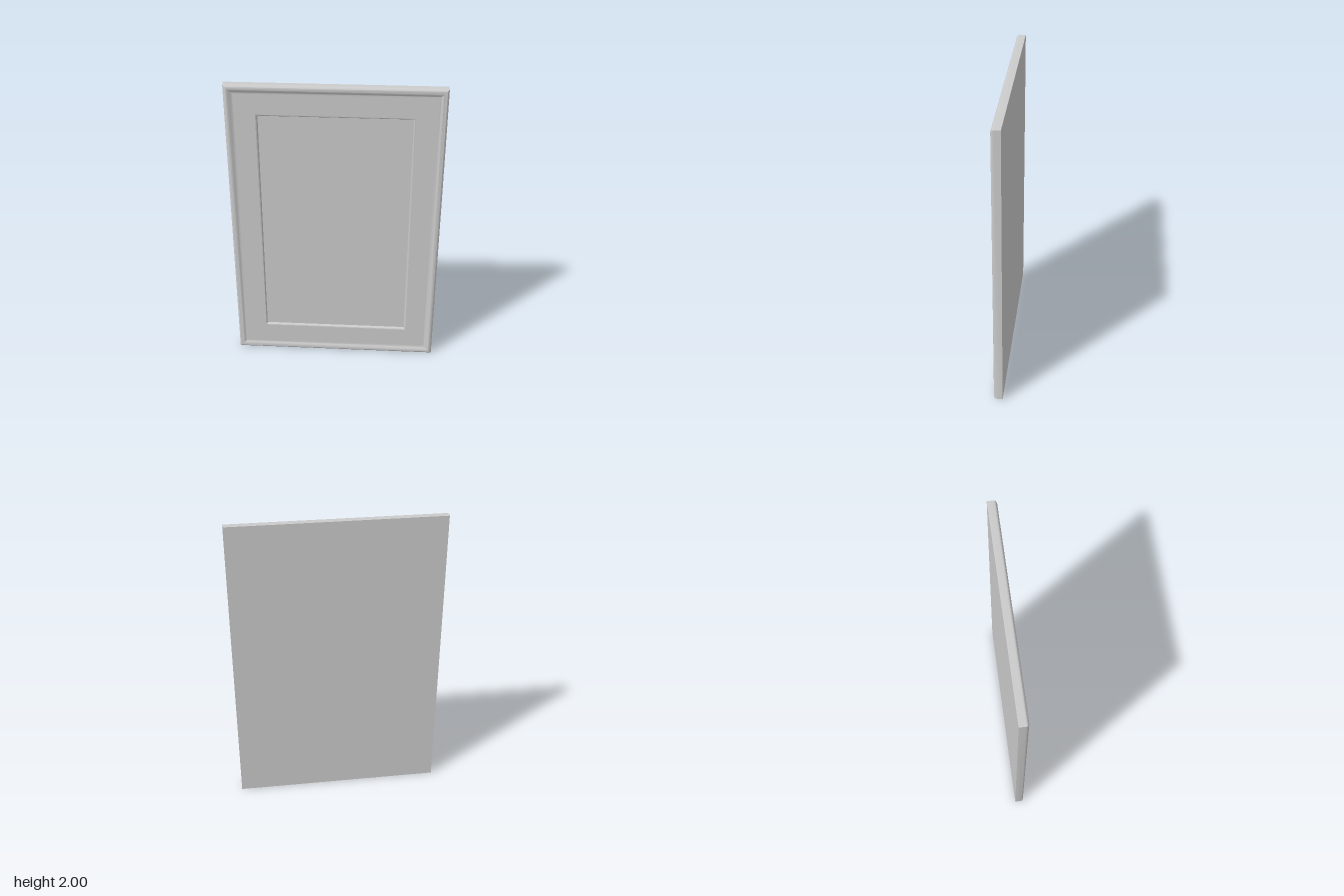
import * as THREE from 'three';
import { toCreasedNormals } from 'three/addons/utils/BufferGeometryUtils.js';

const HALF_W = 0.69, HEIGHT = 2, BACK = -0.03;
const FRAME_Z = 0.017, PANEL_Z = 0.0;

// Four mitred sides swept from a profile of [inset from the edge, z]
function mitredFrame(profile) {
  const corners = ([d, z]) => [
    [-HALF_W + d, d, z], [HALF_W - d, d, z],
    [HALF_W - d, HEIGHT - d, z], [-HALF_W + d, HEIGHT - d, z],
  ];
  const pos = [];
  for (let i = 0; i < profile.length - 1; i++) {
    const lo = corners(profile[i]), hi = corners(profile[i + 1]);
    for (let s = 0; s < 4; s++) {
      const t = (s + 1) % 4;
      pos.push(...lo[s], ...lo[t], ...hi[t], ...lo[s], ...hi[t], ...hi[s]);
    }
  }
  const geo = new THREE.BufferGeometry();
  geo.setAttribute('position', new THREE.Float32BufferAttribute(pos, 3));
  return toCreasedNormals(geo, 0.6);
}

export function createModel() {
  const group = new THREE.Group();
  const material = new THREE.MeshStandardMaterial({ color: 0xcccccc });
  const add = (name, geo) => {
    const mesh = new THREE.Mesh(geo, material);
    mesh.name = name;
    group.add(mesh);
    return mesh;
  };

  // Outer bead: straight edge, rounded crown, soft fall to the flat frame
  const bead = [[0, BACK], [0, 0.012]];
  const steps = 8;
  for (let i = 1; i <= steps; i++) {
    const a = (i / steps) * Math.PI / 2;
    bead.push([0.022 * (1 - Math.cos(a)), 0.012 + 0.018 * Math.sin(a)]);
  }
  for (let i = 1; i <= steps; i++) {
    const t = i / steps;
    bead.push([0.022 + 0.036 * t, FRAME_Z + (0.03 - FRAME_Z) * (1 + Math.cos(Math.PI * t)) / 2]);
  }
  add('edgeBead', mitredFrame(bead));

  // Flat rails and stiles
  add('frame', mitredFrame([[0.058, FRAME_Z], [0.193, FRAME_Z]]));

  // Small rounded step down to the recessed panel
  const step = [];
  for (let i = 0; i <= 6; i++) {
    const a = (i / 6) * Math.PI / 2;
    step.push([0.193 + 0.012 * Math.sin(a), PANEL_Z + (FRAME_Z - PANEL_Z) * Math.cos(a)]);
  }
  add('innerStep', mitredFrame(step));

  // Recessed centre panel and plain back
  const panel = add('centrePanel', new THREE.PlaneGeometry(2 * (HALF_W - 0.205), HEIGHT - 0.41));
  panel.position.set(0, HEIGHT / 2, PANEL_Z);
  const back = add('back', new THREE.PlaneGeometry(2 * HALF_W, HEIGHT));
  back.position.set(0, HEIGHT / 2, BACK);
  back.rotation.y = Math.PI;

  return group;
}
